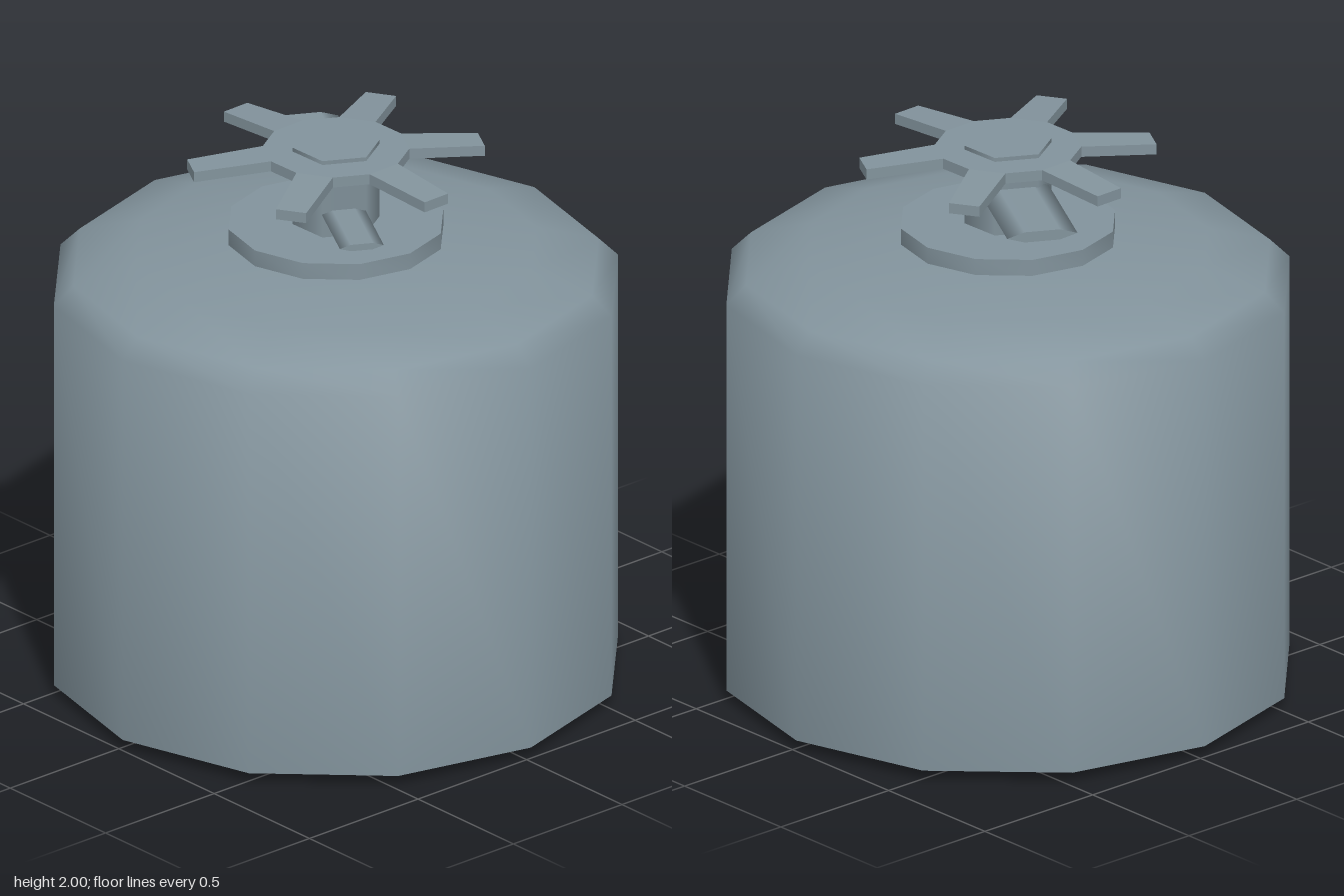
import * as THREE from 'three';
import { toCreasedNormals } from 'three/addons/utils/BufferGeometryUtils.js';

export function createModel() {
  const model = new THREE.Group();
  model.name = 'gasCanister';
  const metal = new THREE.MeshStandardMaterial({ color: 0x82939c });
  metal.name = 'blueGreyMetal';

  const add = (name, geometry) => {
    const mesh = new THREE.Mesh(geometry, metal);
    mesh.name = name;
    model.add(mesh);
    return mesh;
  };
  const turned = (points, sides) => toCreasedNormals(
    new THREE.LatheGeometry(points.map(([r, y]) => new THREE.Vector2(r, y)), sides), 0.9);

  // twelve-sided tank with a bevelled foot and domed shoulder
  add('tank', turned([
    [0, 0], [0.85, 0], [1, 0.04], [1, 1.48], [0.93, 1.55], [0.71, 1.613], [0.34, 1.655], [0, 1.66],
  ], 12));

  // collar and hexagonal valve stem
  add('collar', turned([[0, 1.645], [0.38, 1.645], [0.38, 1.71], [0, 1.71]], 12));
  add('valveStem', new THREE.CylinderGeometry(0.155, 0.155, 0.32, 6).translate(0, 1.84, 0));

  // six-armed hand wheel, drooping slightly towards the tips
  const outline = [];
  const tipR = 0.515, tipHalf = 0.055, rootR = 0.26, rootHalf = 0.066;
  for (let i = 0; i < 6; i++) {
    const a = Math.PI / 6 + (i * Math.PI) / 3;
    const c = Math.cos(a), s = Math.sin(a);
    for (const [r, w] of [[rootR - 0.015, -rootHalf], [tipR, -tipHalf], [tipR, tipHalf], [rootR - 0.015, rootHalf]]) {
      outline.push(new THREE.Vector2(c * r - s * w, s * r + c * w));
    }
  }
  const wheel = new THREE.ExtrudeGeometry(new THREE.Shape(outline), { depth: 0.038, bevelEnabled: false });
  wheel.rotateX(-Math.PI / 2);
  const p = wheel.attributes.position;
  for (let i = 0; i < p.count; i++) {
    const r = Math.hypot(p.getX(i), p.getZ(i));
    p.setY(i, 1.928 + p.getY(i) + (tipR - r) * 0.075);
  }
  wheel.computeVertexNormals();
  add('handWheel', wheel);

  // flattened six-sided outlets reaching out from the stem
  const outlet = (name, from, to, y, halfWidth, halfHeight) => {
    const a = new THREE.Vector3(from[0], y, from[1]);
    const b = new THREE.Vector3(to[0], y, to[1]);
    const along = b.clone().sub(a);
    const geo = new THREE.CylinderGeometry(1, 1, along.length(), 6);
    geo.scale(halfHeight / 0.866, 1, halfWidth);
    const up = new THREE.Vector3(0, 1, 0);
    along.normalize();
    const basis = new THREE.Matrix4().makeBasis(up, along, up.clone().cross(along));
    geo.applyMatrix4(basis.setPosition(a.add(b).multiplyScalar(0.5)));
    add(name, geo);
  };
  outlet('largeOutlet', [0.04, -0.07], [0.265, -0.46], 1.86, 0.125, 0.019);
  outlet('smallOutlet', [-0.06, 0.1], [-0.217, 0.37], 1.797, 0.078, 0.012);

  model.rotation.y = 0.02;
  return model;
}
